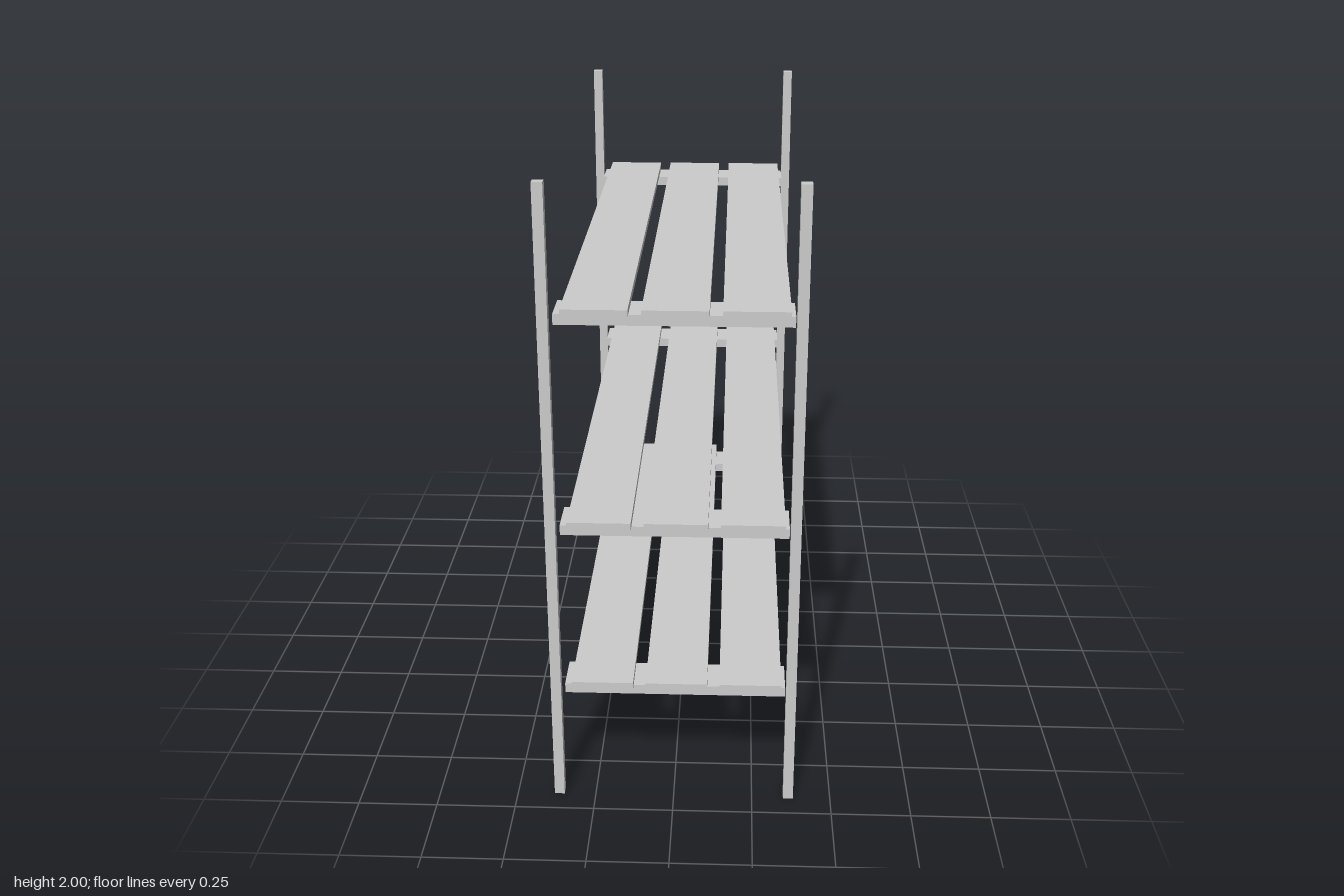
import * as THREE from 'three';

export function createModel() {
  const model = new THREE.Group();
  model.name = 'shelvingRack';
  const material = new THREE.MeshStandardMaterial({ color: 0xcccccc, flatShading: true });

  const addBox = (parent, name, size, position) => {
    const mesh = new THREE.Mesh(new THREE.BoxGeometry(...size), material);
    mesh.name = name;
    mesh.position.set(...position);
    parent.add(mesh);
  };

  // Four square corner posts
  for (const x of [-0.366, 0.366]) {
    for (const z of [-0.911, 0.911]) {
      addBox(model, 'post', [0.032, 2, 0.032], [x, 1, z]);
    }
  }

  // Three shelves, each with three long slats on two end battens
  const slatThickness = 0.022;
  const battenThickness = 0.032;
  for (const y of [0.396, 0.949, 1.615]) {
    const shelf = new THREE.Group();
    shelf.name = 'shelf';
    shelf.position.y = y;
    for (const x of [-0.221, 0.009, 0.239]) {
      addBox(shelf, 'slat', [0.192, slatThickness, 1.848], [x, slatThickness / 2, 0]);
    }
    for (const z of [-0.836, 0.836]) {
      addBox(shelf, 'batten', [0.688, battenThickness, 0.126], [0.004, -battenThickness / 2, z]);
    }
    model.add(shelf);
  }

  return model;
}
